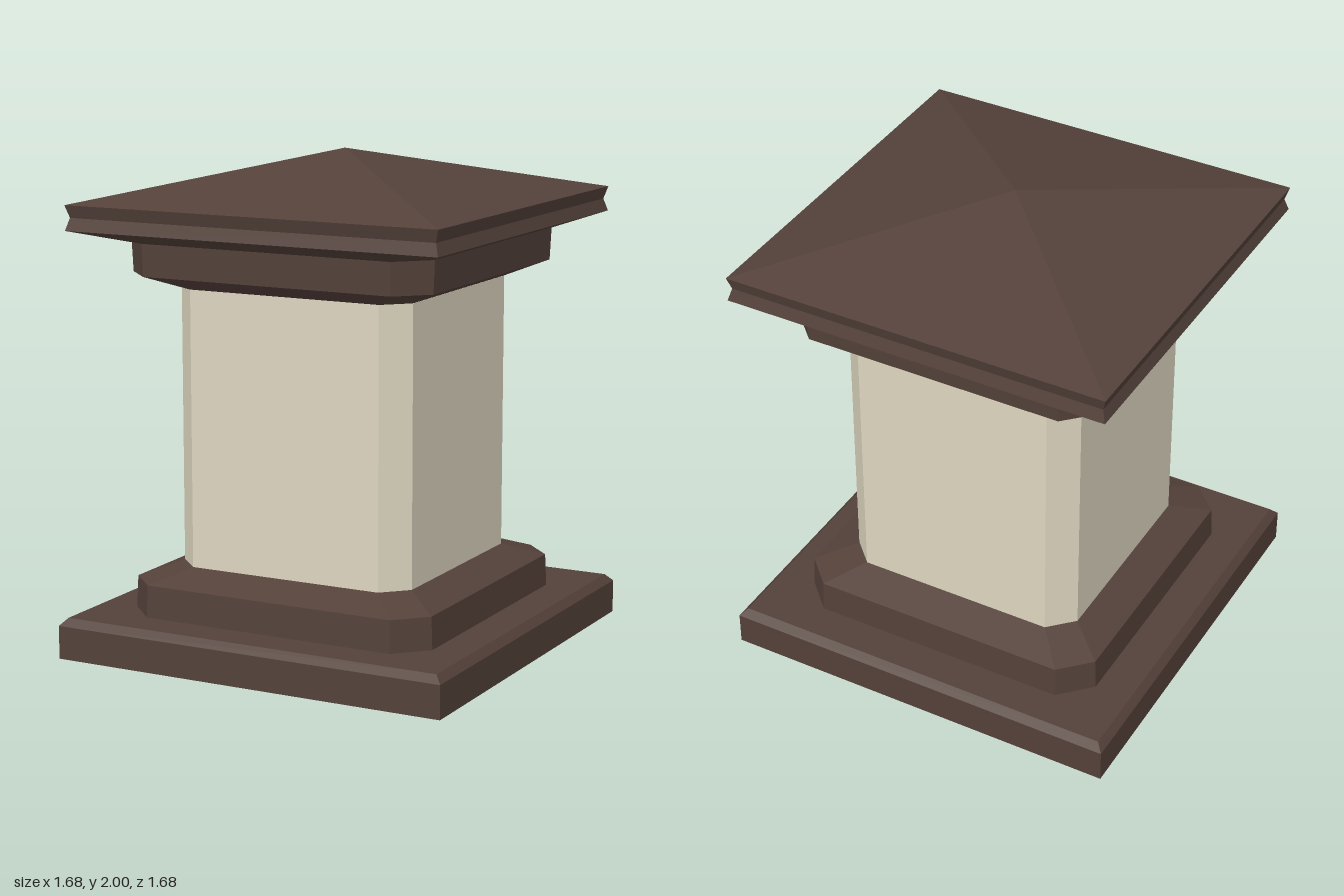
import * as THREE from 'three';

// Chamfered-square ring: half width h, corner cut c, height y (counterclockwise from above)
function ring(y, h, c) {
  const points = [];
  for (let i = 0; i < 4; i++) {
    const turn = i * Math.PI / 2;
    for (const [x, z] of [[h, -(h - c)], [h - c, -h]]) {
      points.push(new THREE.Vector3(x, y, z).applyAxisAngle(THREE.Object3D.DEFAULT_UP, turn));
    }
  }
  return points;
}

// Flat-faced solid lofted through [y, halfWidth, cornerCut] sections, closed at both ends
function loft(sections) {
  const rings = sections.map((s) => ring(...s));
  const positions = [];
  const triangle = new THREE.Triangle();
  const add = (a, b, c) => {
    if (triangle.set(a, b, c).getArea() < 1e-6) return;
    for (const p of [a, b, c]) positions.push(p.x, p.y, p.z);
  };
  for (let k = 0; k < rings.length - 1; k++) {
    const lo = rings[k], hi = rings[k + 1];
    for (let i = 0; i < 8; i++) {
      const j = (i + 1) % 8;
      add(lo[i], lo[j], hi[j]);
      add(lo[i], hi[j], hi[i]);
    }
  }
  const first = rings[0], last = rings[rings.length - 1];
  for (let i = 1; i < 7; i++) {
    add(first[0], first[i + 1], first[i]);
    add(last[0], last[i], last[i + 1]);
  }
  const geometry = new THREE.BufferGeometry();
  geometry.setAttribute('position', new THREE.Float32BufferAttribute(positions, 3));
  geometry.computeVertexNormals();
  return geometry;
}

export function createModel() {
  const group = new THREE.Group();
  group.name = 'pillar';

  const brown = new THREE.MeshStandardMaterial({ color: 0x54413a });
  brown.name = 'dark brown';
  const cream = new THREE.MeshStandardMaterial({ color: 0xded6c0 });
  cream.name = 'cream';

  const part = (name, material, sections) => {
    const mesh = new THREE.Mesh(loft(sections), material);
    mesh.name = name;
    group.add(mesh);
  };

  // Square plinth with a bevelled top edge
  part('plinth', brown, [[0, 0.84, 0], [0.135, 0.84, 0], [0.165, 0.812, 0]]);
  // Chamfered collar sloping in to the shaft
  part('baseCollar', brown, [[0.165, 0.662, 0.122], [0.295, 0.656, 0.118], [0.352, 0.51, 0.095]]);
  // Chamfered shaft
  part('shaft', cream, [[0.352, 0.511, 0.097], [1.47, 0.511, 0.097]]);
  // Capital flaring out under the roof
  part('capital', brown, [[1.47, 0.51, 0.095], [1.53, 0.656, 0.118], [1.66, 0.662, 0.122]]);
  // Roof with a sloped underside, grooved rim and pyramid top
  part('roof', brown, [
    [1.66, 0.662, 0.122], [1.71, 0.8, 0], [1.76, 0.785, 0], [1.81, 0.8, 0], [2, 0, 0],
  ]);

  return group;
}
